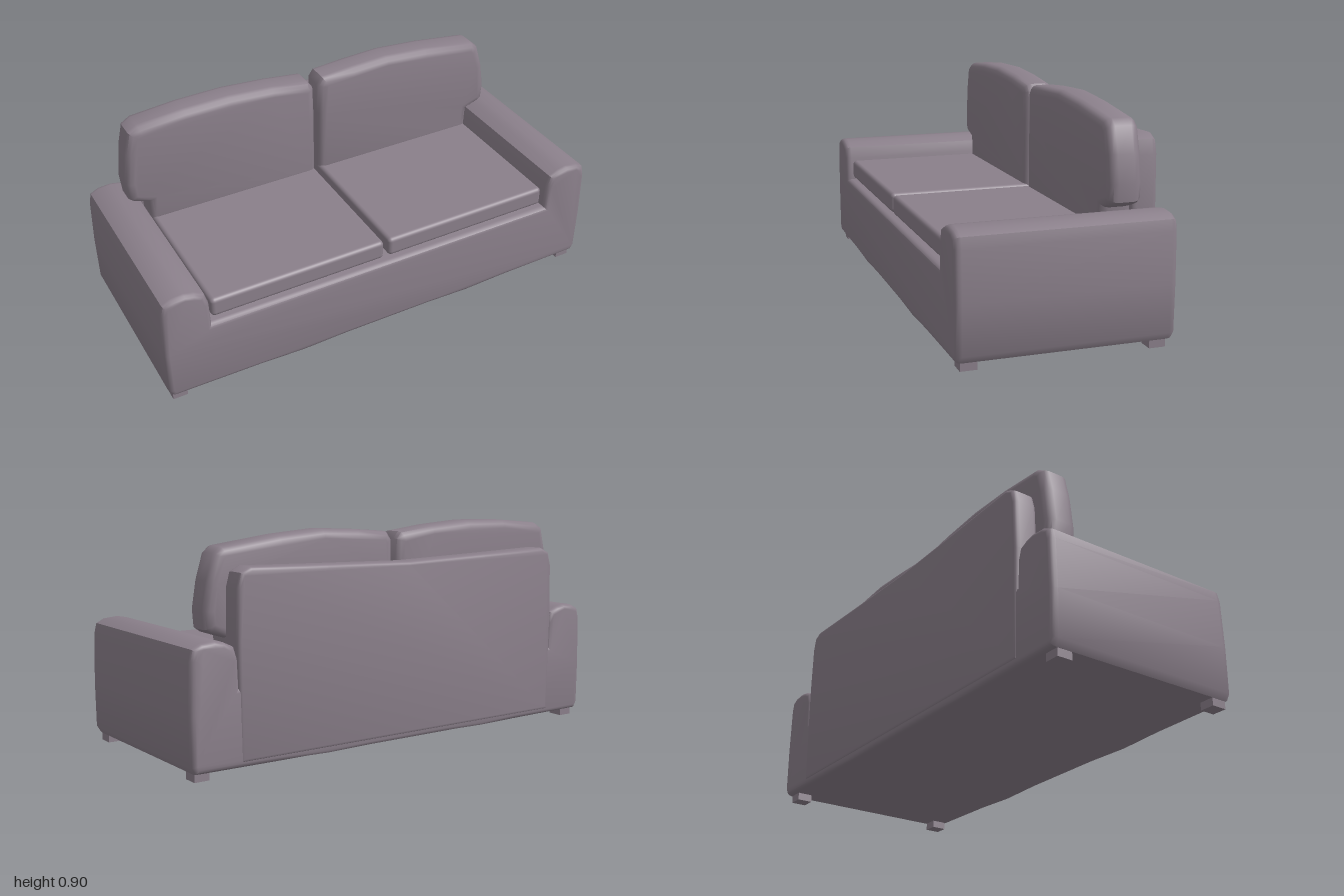
import * as THREE from 'three';
import { toCreasedNormals } from 'three/addons/utils/BufferGeometryUtils.js';
import { RoundedBoxGeometry } from 'three/addons/geometries/RoundedBoxGeometry.js';

const fabric = new THREE.MeshStandardMaterial({ color: 0x8a7f8a });
fabric.name = 'fabric';

// Upright panel with softened edges, filling z0..z1 exactly
function panel(points, z0, z1, soft, softDepth) {
  const shape = new THREE.Shape(points.map(([x, y]) => new THREE.Vector2(x, y)));
  const geometry = new THREE.ExtrudeGeometry(shape, {
    depth: z1 - z0 - 2 * softDepth,
    bevelSize: soft, bevelOffset: -soft, bevelThickness: softDepth, bevelSegments: 3,
  });
  geometry.translate(0, 0, z0 + softDepth);
  return toCreasedNormals(geometry, 0.75);
}

export function createModel() {
  const sofa = new THREE.Group();
  sofa.name = 'sofa';
  const add = (name, geometry, x = 0, y = 0, z = 0) => {
    const mesh = new THREE.Mesh(geometry, fabric);
    mesh.name = name;
    mesh.position.set(x, y, z);
    sofa.add(mesh);
    return mesh;
  };

  // Base and both arms share one U-shaped section
  const half = [
    [0.79, 0.335], [0.795, 0.44], [0.81, 0.488], [0.85, 0.507], [0.89, 0.515],
    [0.945, 0.51], [0.98, 0.492], [0.99, 0.45], [0.995, 0.25], [0.992, 0.06],
    [0.975, 0.032], [0.6, 0.028], [0.4, 0.02], [0.2, 0.026],
  ];
  const mirrored = half.map(([x, y]) => [-x, y]).reverse();
  const body = panel([...half, ...mirrored], -0.425, 0.43, 0.02, 0.025);
  // The hem sags only towards the front
  const p = body.attributes.position;
  for (let i = 0; i < p.count; i++) {
    if (p.getY(i) < 0.05 && p.getZ(i) < 0) p.setY(i, Math.max(p.getY(i), 0.032));
  }
  add('baseAndArms', body);

  // Back frame
  add('backFrame', panel([
    [-0.79, 0.05], [0.79, 0.05], [0.8, 0.5], [0.795, 0.7], [0.78, 0.755], [0.74, 0.775],
    [0.4, 0.765], [0, 0.755], [-0.4, 0.765], [-0.74, 0.775], [-0.78, 0.755],
    [-0.795, 0.7], [-0.8, 0.5],
  ], -0.43, -0.325, 0.015, 0.02));

  // Seat cushions with a seam lip
  for (const side of [-1, 1]) {
    const name = side > 0 ? 'leftSeatCushion' : 'rightSeatCushion';
    add(name, new RoundedBoxGeometry(0.77, 0.085, 0.72, 3, 0.018), side * 0.396, 0.387, 0.043);
  }

  // Back cushions, notched to rest on the arms
  add('rightBackCushion', panel([
    [-0.01, 0.4], [-0.008, 0.7], [-0.012, 0.84], [-0.035, 0.868], [-0.2, 0.888],
    [-0.4, 0.902], [-0.6, 0.898], [-0.8, 0.88], [-0.84, 0.855], [-0.862, 0.76],
    [-0.878, 0.62], [-0.87, 0.54], [-0.85, 0.525], [-0.79, 0.505], [-0.785, 0.4],
  ].reverse(), -0.335, -0.2, 0.035, 0.035));
  add('leftBackCushion', panel([
    [0.012, 0.4], [0.01, 0.7], [0.012, 0.84], [0.035, 0.872], [0.18, 0.884],
    [0.35, 0.892], [0.55, 0.877], [0.8, 0.845], [0.83, 0.82], [0.86, 0.72],
    [0.878, 0.61], [0.872, 0.54], [0.85, 0.525], [0.79, 0.505], [0.785, 0.4],
  ], -0.335, -0.2, 0.035, 0.035));

  // Feet
  for (const x of [-0.943, 0.94]) {
    for (const z of [0.375, -0.362]) {
      add('foot', new THREE.BoxGeometry(0.062, 0.045, 0.065), x, 0.0225, z);
    }
  }
  return sofa;
}
